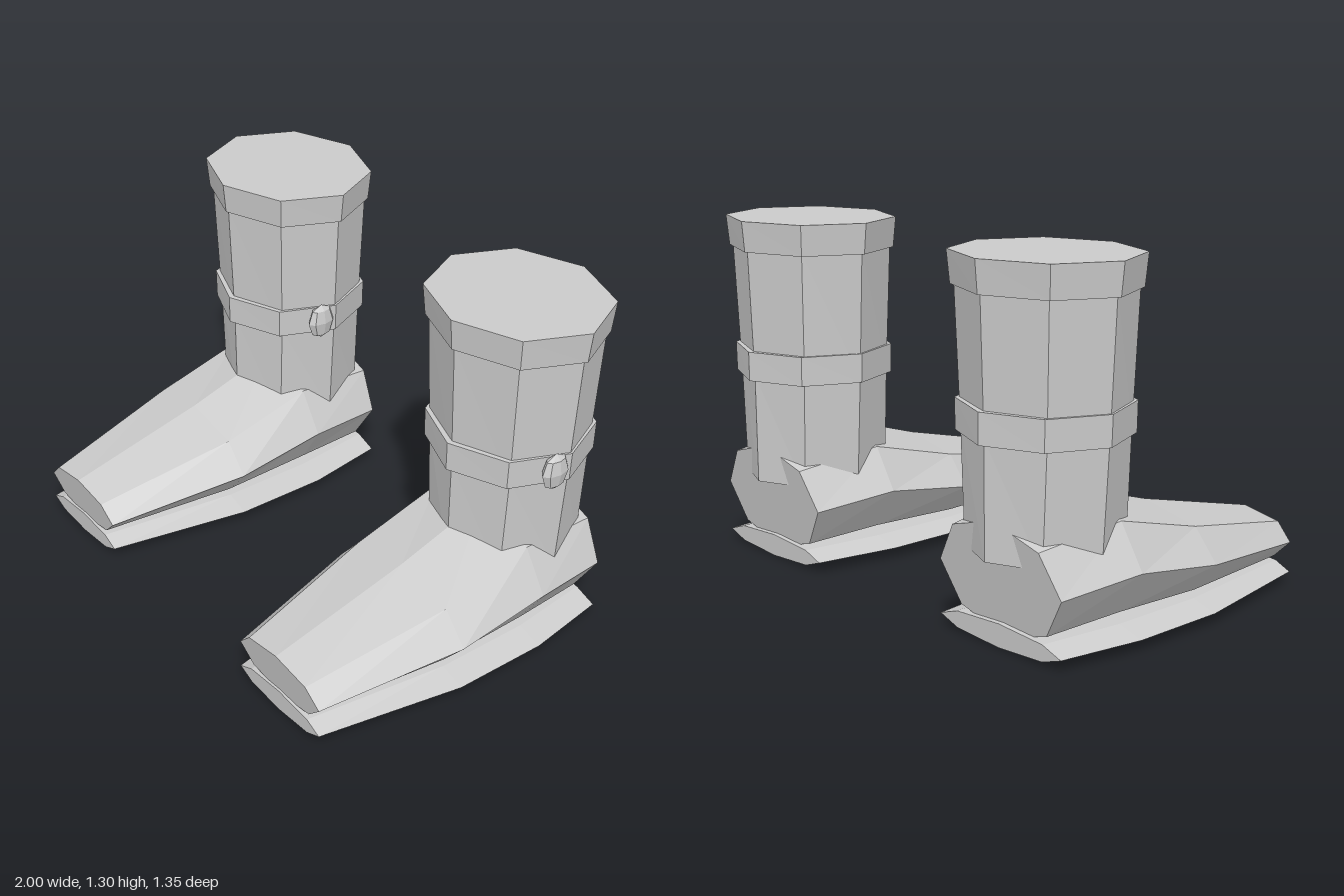
import * as THREE from 'three';

const SIDES = 8;
const material = new THREE.MeshStandardMaterial({ color: 0xcccccc, flatShading: true });

// Closed faceted skin through a list of rings, capped at both ends
function loft(rings) {
  const index = [];
  const last = (rings.length - 1) * SIDES;
  for (let i = 0; i < rings.length - 1; i++) {
    for (let j = 0; j < SIDES; j++) {
      const a = i * SIDES + j;
      const b = i * SIDES + (j + 1) % SIDES;
      index.push(a, b, a + SIDES, b, b + SIDES, a + SIDES);
    }
  }
  for (let j = 1; j < SIDES - 1; j++) {
    index.push(0, j + 1, j, last, last + j, last + j + 1);
  }
  const indexed = new THREE.BufferGeometry().setFromPoints(rings.flat());
  indexed.setIndex(index);
  const geometry = indexed.toNonIndexed();
  geometry.computeVertexNormals();
  return geometry;
}

function ring(pointAt) {
  return Array.from({ length: SIDES }, (_, j) => {
    const t = j / SIDES * Math.PI * 2;
    return pointAt(Math.cos(t), Math.sin(t));
  });
}

// Horizontal octagon of the leg
const LEG_Z = -0.364;
const legRing = ([y, rx, rz]) => ring((c, s) => new THREE.Vector3(s * rx, y, LEG_Z + c * rz));

// Upright octagon across the foot; lean tips its top forward or back
const footRing = ([z, y, rx, ry, lean = 0]) =>
  ring((c, s) => new THREE.Vector3(c * rx, y + s * ry, z + lean * s * ry));

function addPart(group, name, geometry) {
  const mesh = new THREE.Mesh(geometry, material);
  mesh.name = name;
  group.add(mesh);
  return mesh;
}

function createBoot(name) {
  const boot = new THREE.Group();
  boot.name = name;

  // Flat lens-shaped sole: z, centre y, half width, half height
  addPart(boot, 'sole', loft([
    [-0.573, 0.042, 0.297, 0.042],
    [-0.25, 0.042, 0.344, 0.042],
    [0.12, 0.042, 0.338, 0.042],
    [0.664, 0.042, 0.227, 0.042],
  ].map(footRing)));

  // Foot tapering from ankle to blunt toe
  addPart(boot, 'foot', loft([
    [-0.573, 0.238, 0.297, 0.205, -0.13],
    [-0.25, 0.27, 0.342, 0.222],
    [0.12, 0.217, 0.338, 0.162],
    [0.663, 0.155, 0.226, 0.092, 0.12],
  ].map(footRing)));

  // Leg: y, half width, half depth
  addPart(boot, 'shaft', loft([
    [0.31, 0.27, 0.27],
    [0.72, 0.295, 0.271],
    [1.2, 0.32, 0.287],
  ].map(legRing)));
  addPart(boot, 'strap', loft([
    [0.705, 0.304, 0.296],
    [0.815, 0.308, 0.296],
  ].map(legRing)));
  addPart(boot, 'cuff', loft([
    [1.19, 0.335, 0.298],
    [1.305, 0.348, 0.308],
  ].map(legRing)));

  // Faceted stud on the strap
  const stud = addPart(boot, 'stud', new THREE.SphereGeometry(1, 8, 4).toNonIndexed());
  stud.geometry.computeVertexNormals();
  stud.scale.set(0.03, 0.072, 0.06);
  stud.position.set(0.295, 0.762, -0.3);

  return boot;
}

export function createModel() {
  const model = new THREE.Group();
  model.name = 'bootPair';
  for (const [name, x] of [['rightBoot', -0.652], ['leftBoot', 0.652]]) {
    const boot = createBoot(name);
    boot.position.x = x;
    model.add(boot);
  }
  return model;
}
